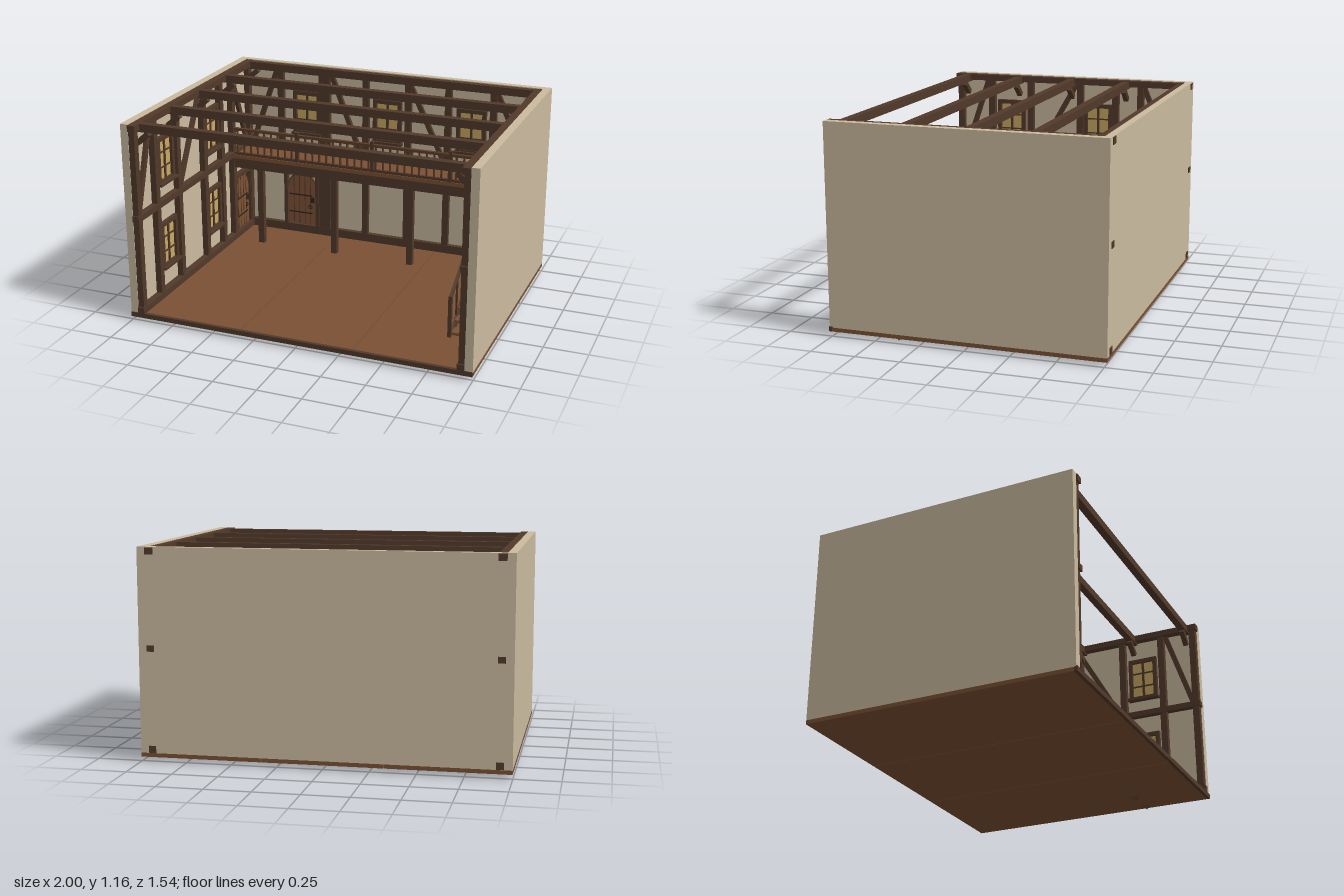
import * as THREE from 'three';

const mat = (name, color, side = THREE.FrontSide) => {
  const m = new THREE.MeshStandardMaterial({ color, side });
  m.name = name;
  return m;
};

export function createModel() {
  const plaster = mat('plaster', 0xcbbb9f);
  const timber = mat('dark timber', 0x523a2b);
  const rail = mat('railing wood', 0x5c3d29);
  const plank = mat('floor plank', 0x7b5033);
  const doorWood = mat('door wood', 0x805233);
  const glass = mat('amber glass', 0xc9a862);
  const iron = mat('dark iron', 0x30241d);

  const root = new THREE.Group();
  root.name = 'timberHall';
  const group = (name, parent = root) => {
    const g = new THREE.Group();
    g.name = name;
    parent.add(g);
    return g;
  };
  const add = (parent, name, geo, m) => {
    const mesh = new THREE.Mesh(geo, m);
    mesh.name = name;
    parent.add(mesh);
    return mesh;
  };
  // box from its limits on each axis
  const box = (p, name, m, x0, x1, y0, y1, z0, z1) => {
    const b = add(p, name, new THREE.BoxGeometry(x1 - x0, y1 - y0, z1 - z0), m);
    b.position.set((x0 + x1) / 2, (y0 + y1) / 2, (z0 + z1) / 2);
    return b;
  };
  // sloping bar between two points
  const bar = (p, name, m, a, b, w, d) => {
    const A = new THREE.Vector3(...a), B = new THREE.Vector3(...b);
    const dir = B.clone().sub(A);
    const s = add(p, name, new THREE.BoxGeometry(w, dir.length(), d), m);
    s.position.copy(A).add(B).multiplyScalar(0.5);
    s.quaternion.setFromUnitVectors(new THREE.Vector3(0, 1, 0), dir.normalize());
    return s;
  };

  // window facing +z, wall plane at z = 0
  const windowAt = (p, x, y) => {
    const g = group('window', p);
    g.position.set(x, y, 0);
    box(g, 'windowGlass', glass, -0.085, 0.085, -0.13, 0.13, 0, 0.008);
    for (const s of [-1, 1]) {
      box(g, 'windowJamb', timber, s * 0.08 - 0.012, s * 0.08 + 0.012, -0.14, 0.14, 0, 0.025);
      box(g, 'windowRail', timber, -0.092, 0.092, s * 0.128 - 0.012, s * 0.128 + 0.012, 0, 0.025);
      box(g, 'windowBar', timber, -0.07, 0.07, s * 0.045 - 0.004, s * 0.045 + 0.004, 0, 0.014);
    }
    box(g, 'windowMullion', timber, -0.007, 0.007, -0.13, 0.13, 0, 0.016);
    box(g, 'windowSill', timber, -0.1, 0.1, -0.142, -0.126, 0, 0.04);
  };

  // arched door facing +z, wall plane at z = 0
  const doorAt = (p, x, y) => {
    const g = group('door', p);
    g.position.set(x, y, 0);
    const leaf = new THREE.Shape();
    leaf.moveTo(-0.095, 0);
    leaf.lineTo(0.095, 0);
    leaf.lineTo(0.095, 0.255);
    leaf.absarc(0, 0.255, 0.095, 0, Math.PI, false);
    leaf.closePath();
    add(g, 'doorLeaf', new THREE.ExtrudeGeometry(leaf, { depth: 0.014, bevelEnabled: false, curveSegments: 12 }), doorWood);
    for (const s of [-1, 1]) box(g, 'doorJamb', timber, s * 0.108 - 0.012, s * 0.108 + 0.012, 0, 0.375, 0, 0.03);
    box(g, 'doorLintel', timber, -0.12, 0.12, 0.35, 0.377, 0, 0.032);
    const arch = add(g, 'doorArch', new THREE.TorusGeometry(0.095, 0.004, 4, 16, Math.PI), timber);
    arch.position.set(0, 0.255, 0.014);
    for (const i of [-1.5, -0.5, 0.5, 1.5]) {
      const px = i * 0.038, top = 0.255 + Math.sqrt(0.095 ** 2 - px ** 2);
      box(g, 'plankGroove', timber, px - 0.0025, px + 0.0025, 0, top, 0.014, 0.016);
    }
    for (const sy of [0.08, 0.2]) box(g, 'doorStrap', iron, -0.09, 0.07, sy - 0.004, sy + 0.004, 0.014, 0.019);
    box(g, 'lockPlate', iron, 0.06, 0.085, 0.155, 0.19, 0.014, 0.02);
    const ring = add(g, 'doorRing', new THREE.TorusGeometry(0.012, 0.0035, 6, 12), iron);
    ring.position.set(0.058, 0.125, 0.02);
  };

  // floor panels and front edge
  const floor = group('floor');
  [[-1, -0.333], [-0.328, 0.328], [0.333, 1]].forEach(([a, b]) =>
    box(floor, 'floorPanel', plank, a, b, 0.026, 0.048, -0.765, 0.75));
  box(floor, 'floorEdge', timber, -1, 1, 0.026, 0.053, 0.748, 0.768);

  // three plaster walls, open front and top
  const walls = group('walls');
  box(walls, 'backWall', plaster, -0.955, 0.955, 0.048, 1.163, -0.765, -0.725);
  for (const s of [-1, 1]) box(walls, 'sideWall', plaster, s < 0 ? -1 : 0.955, s < 0 ? -0.955 : 1, 0.048, 1.163, -0.765, 0.763);

  // back wall framing, local z = 0 on the plaster
  const back = group('backFraming');
  back.position.z = -0.725;
  box(back, 'bottomPlate', timber, -0.955, -0.69, 0.048, 0.1, 0, 0.03);
  box(back, 'bottomPlate', timber, -0.69, 0.955, 0.048, 0.1, 0, 0.03);
  box(back, 'middleRail', timber, -0.955, 0.955, 0.535, 0.64, 0, 0.03);
  for (const [x, w] of [[-0.71, 0.04], [-0.415, 0.075], [-0.14, 0.04], [0.135, 0.04], [0.39, 0.04], [0.67, 0.04]])
    box(back, 'stud', timber, x - w / 2, x + w / 2, x === -0.71 ? 0.62 : 0.1, 1.12, 0, 0.028);
  for (const [xa, xb] of [[-0.91, -0.74], [-0.175, -0.365], [0.375, 0.145], [0.92, 0.69]])
    bar(back, 'diagonalBrace', timber, [xa, 0.63, 0.013], [xb, 1.11, 0.013], 0.03, 0.022);
  for (const x of [-0.535, 0, 0.535]) windowAt(back, x, 0.855);
  doorAt(back, -0.575, 0.1);

  // side wall framing, built facing +z then turned inward
  for (const s of [-1, 1]) {
    const side = group(s < 0 ? 'rightFraming' : 'leftFraming');
    side.position.x = s * 0.955;
    side.rotation.y = -s * Math.PI / 2;
    const lx = z => s * z; // local x of a world z
    for (const [y0, y1, d] of [[0.05, 0.088, 0.04], [0.603, 0.637, 0.04], [1.123, 1.16, 0.045]])
      box(side, 'longBeam', timber, -0.77, 0.77, y0, y1, 0, d);
    for (const z of [0.74, 0.53, 0.27, -0.06, -0.29, -0.45, -0.7])
      box(side, 'stud', timber, lx(z) - 0.02, lx(z) + 0.02, 0.06, 1.13, 0, 0.035);
    for (const [za, zb] of [[0.72, 0.56], [0.24, -0.03], [-0.67, -0.47]])
      bar(side, 'diagonalBrace', timber, [lx(za), 0.64, 0.013], [lx(zb), 1.12, 0.013], 0.03, 0.022);
    for (const z of [0.4, -0.175]) {
      windowAt(side, lx(z), 0.86);
      windowAt(side, lx(z), 0.35);
    }
    if (s < 0) doorAt(side, lx(-0.577), 0.088);
  }

  // ceiling beams with knee braces at both ends
  const ceiling = group('ceilingBeams');
  for (const z of [-0.705, -0.357, -0.005, 0.345, 0.695]) {
    box(ceiling, 'ceilingBeam', timber, -0.955, 0.955, 1.112, 1.158, z - 0.021, z + 0.021);
    for (const s of [-1, 1])
      bar(ceiling, 'kneeBrace', timber, [s * 0.94, 1.04, z], [s * 0.865, 1.105, z], 0.03, 0.03);
  }

  // balcony deck, beam and posts
  const balcony = group('balcony');
  box(balcony, 'deck', plank, -0.955, 0.955, 0.595, 0.618, -0.725, -0.437);
  box(balcony, 'frontBeam', timber, -0.955, 0.765, 0.535, 0.597, -0.475, -0.438);
  for (const x of [-0.745, -0.25, 0.245, 0.74])
    box(balcony, 'supportPost', timber, x - 0.019, x + 0.019, 0.048, 0.536, -0.475, -0.439);

  // balcony railing
  const railing = group('balconyRailing');
  box(railing, 'handrail', rail, -0.92, 0.715, 0.777, 0.793, -0.462, -0.44);
  box(railing, 'bottomRail', timber, -0.92, 0.715, 0.618, 0.634, -0.459, -0.443);
  for (const x of [-0.495, -0.003, 0.49, 0.705])
    box(railing, 'newel', timber, x - 0.01, x + 0.01, 0.618, 0.81, -0.463, -0.439);
  for (let i = 0; i < 35; i++) {
    const x = -0.9 + i * 0.046;
    box(railing, 'baluster', rail, x - 0.005, x + 0.005, 0.63, 0.78, -0.456, -0.446);
  }

  // staircase along the left wall
  const stairs = group('staircase');
  for (const x of [0.767, 0.945])
    bar(stairs, 'stringer', timber, [x, 0.0205, 0.4], [x, 0.595, -0.44], 0.014, 0.05);
  for (let i = 0; i < 13; i++) {
    const t = (i + 0.5) / 13, y = 0.045 + t * 0.57, z = 0.4 - t * 0.84;
    box(stairs, 'tread', plank, 0.772, 0.942, y - 0.008, y + 0.008, z - 0.036, z + 0.036);
  }
  bar(stairs, 'stairHandrail', timber, [0.765, 0.275, 0.41], [0.765, 0.782, -0.435], 0.016, 0.018);
  for (let i = 0; i < 8; i++) {
    const t = i / 7, z = 0.405 - t * 0.835, end = i === 0 || i === 7, w = end ? 0.01 : 0.005;
    box(stairs, end ? 'stairNewel' : 'stairBaluster', timber, 0.765 - w, 0.765 + w,
      0.03 + t * 0.56, (end ? 0.29 : 0.275) + t * 0.505, z - w, z + w);
  }
  return root;
}
